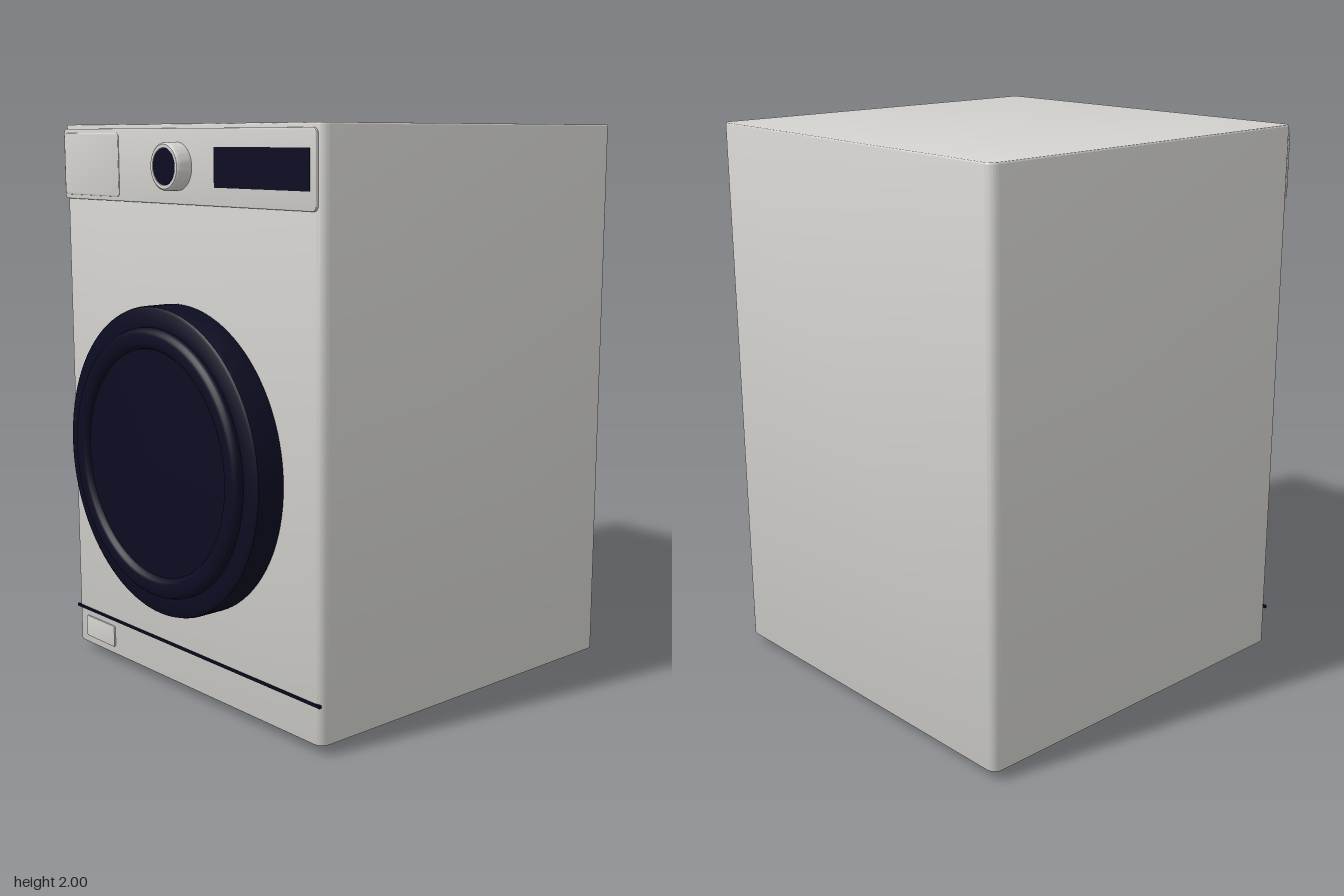
import * as THREE from 'three';
import { toCreasedNormals } from 'three/addons/utils/BufferGeometryUtils.js';

const enamel = new THREE.MeshStandardMaterial({ color: 0xd2d1cd });
enamel.name = 'light grey enamel';
const navy = new THREE.MeshStandardMaterial({ color: 0x0c0c22 });
navy.name = 'dark navy';

const FRONT = 0.63;

function roundedRect(w, h, r) {
  const s = new THREE.Shape(), x = w / 2, y = h / 2;
  s.moveTo(-x + r, -y);
  s.lineTo(x - r, -y);
  s.absarc(x - r, -y + r, r, -Math.PI / 2, 0);
  s.lineTo(x, y - r);
  s.absarc(x - r, y - r, r, 0, Math.PI / 2);
  s.lineTo(-x + r, y);
  s.absarc(-x + r, y - r, r, Math.PI / 2, Math.PI);
  s.lineTo(-x, -y + r);
  s.absarc(-x + r, -y + r, r, Math.PI, Math.PI * 1.5);
  return s;
}

// Rounded slab of full size w x h, from z = 0 to depth, bevelled on both faces
function slab(w, h, depth, r, bevel = 0) {
  const g = new THREE.ExtrudeGeometry(roundedRect(w - 2 * bevel, h - 2 * bevel, r), {
    depth: depth - 2 * bevel, bevelEnabled: bevel > 0, bevelSize: bevel,
    bevelThickness: bevel, bevelSegments: 3, curveSegments: 8,
  });
  g.translate(0, 0, bevel);
  return toCreasedNormals(g, 0.6);
}

// Turned part whose axis points to the front; profile is [radius, z]
function turned(profile, segments = 96) {
  const g = new THREE.LatheGeometry(profile.map(([r, z]) => new THREE.Vector2(r, z)), segments);
  g.rotateX(Math.PI / 2);
  return toCreasedNormals(g, 0.6);
}

export function createModel() {
  const model = new THREE.Group();
  model.name = 'washingMachine';
  const add = (name, geometry, material, x, y, z) => {
    const m = new THREE.Mesh(geometry, material);
    m.name = name;
    m.position.set(x, y, z);
    model.add(m);
    return m;
  };

  // Cabinet, extruded upwards from its rounded plan
  const cabinet = slab(1.41, 1.405, 1.965, 0.03, 0.005);
  cabinet.rotateX(-Math.PI / 2);
  add('cabinet', cabinet, enamel, 0, 0.035, -0.0725);

  // Control panel with drawer, display and dial
  add('controlPanel', slab(1.38, 0.25, 0.012, 0.014, 0.003), enamel, 0, 1.86, FRONT - 0.003);
  add('detergentDrawer', slab(0.345, 0.22, 0.012, 0.012, 0.003), enamel, -0.512, 1.86, FRONT);
  add('display', slab(0.466, 0.13, 0.008, 0.004), navy, 0.432, 1.86, FRONT + 0.003);
  add('dial', turned([
    [0.08, 0], [0.08, 0.052], [0.078, 0.058], [0.073, 0.062], [0.062, 0.062], [0.06, 0.057], [0, 0.057],
  ], 64), enamel, 0, 1.86, FRONT + 0.003);
  add('dialCap', turned([[0.06, 0], [0.06, 0.004], [0, 0.004]], 64), navy, 0, 1.86, FRONT + 0.06);

  // Door: wide rim, raised ring and shallow sunken window
  add('door', turned([
    [0.525, 0], [0.535, 0.008], [0.535, 0.1], [0.532, 0.109], [0.523, 0.115],
    [0.465, 0.115], [0.465, 0.125], [0.461, 0.135], [0.453, 0.142], [0.442, 0.145],
    [0.412, 0.145], [0.402, 0.142], [0.395, 0.134], [0.392, 0.125], [0, 0.125],
  ]), navy, 0, 0.865, FRONT);

  // Kick plate seam and filter hatch
  add('kickSeam', new THREE.BoxGeometry(1.4, 0.01, 0.009), navy, 0, 0.172, FRONT);
  add('filterHatch', slab(0.185, 0.08, 0.009, 0.006, 0.002), enamel, -0.543, 0.105, FRONT - 0.002);

  // Four feet
  for (const x of [-0.577, 0.577])
    for (const z of [-0.635, 0.492])
      add('foot', new THREE.CylinderGeometry(0.05, 0.05, 0.04, 32), navy, x, 0.02, z);

  return model;
}
